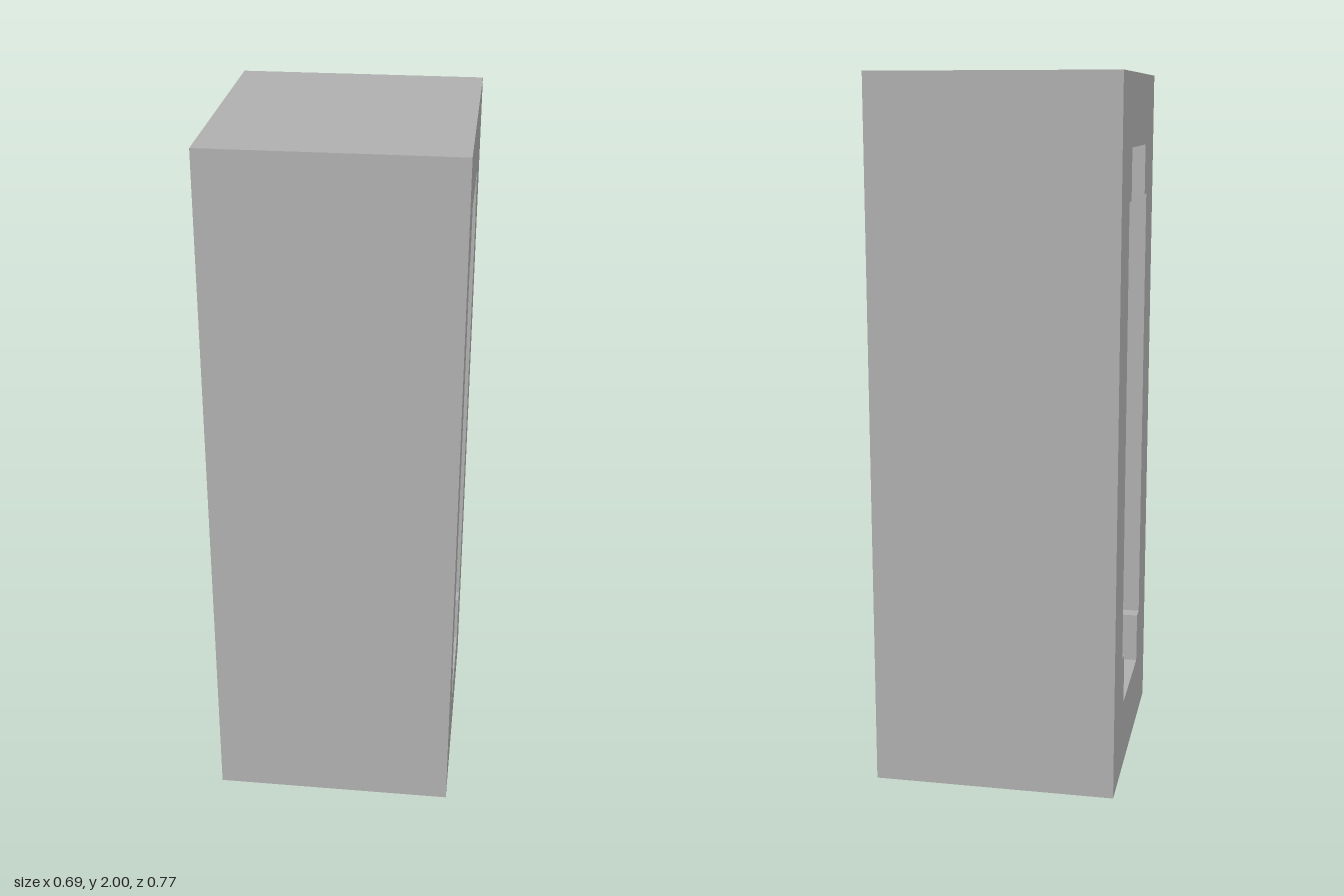
import * as THREE from 'three';

const WIDTH = 0.69, HEIGHT = 2, DEPTH = 0.768;  // outer block
const SLOT_Z = 0.167, SLOT_LOW = 0.2, SLOT_HIGH = 1.8;  // opening through x
const NOTCH_Z = 0.213, NOTCH_LOW = 0.348, NOTCH_HIGH = 1.656;  // widened middle of the opening
const NOTCH_DEPTH = 0.084;  // recess depth from each side face

const polygon = (Type, points) => new Type(points.map(([z, y]) => new THREE.Vector2(z, y)));

export function createModel() {
  const model = new THREE.Group();
  model.name = 'slottedBlock';

  const grey = new THREE.MeshStandardMaterial({ color: 0xb2b2b2 });
  grey.name = 'plain grey';

  // Block with a cross-shaped opening running side to side
  const d = DEPTH / 2;
  const outline = polygon(THREE.Shape, [[-d, 0], [d, 0], [d, HEIGHT], [-d, HEIGHT]]);
  const halfEdge = [
    [SLOT_Z, SLOT_LOW], [SLOT_Z, NOTCH_LOW], [NOTCH_Z, NOTCH_LOW],
    [NOTCH_Z, NOTCH_HIGH], [SLOT_Z, NOTCH_HIGH], [SLOT_Z, SLOT_HIGH],
  ];
  const mirrored = halfEdge.map(([z, y]) => [-z, y]).reverse();
  outline.holes.push(polygon(THREE.Path, [...halfEdge, ...mirrored]));

  const blockGeometry = new THREE.ExtrudeGeometry(outline, { depth: WIDTH, bevelEnabled: false });
  blockGeometry.translate(0, 0, -WIDTH / 2);
  blockGeometry.rotateY(Math.PI / 2);
  const block = new THREE.Mesh(blockGeometry, grey);
  block.name = 'block';
  model.add(block);

  // Inner walls fill the notches, leaving a shallow recess at each side face
  for (const side of [1, -1]) {
    const wall = new THREE.Mesh(
      new THREE.BoxGeometry(WIDTH - 2 * NOTCH_DEPTH, NOTCH_HIGH - NOTCH_LOW, NOTCH_Z - SLOT_Z),
      grey,
    );
    wall.name = side > 0 ? 'frontInnerWall' : 'backInnerWall';
    wall.position.set(0, (NOTCH_LOW + NOTCH_HIGH) / 2, side * (NOTCH_Z + SLOT_Z) / 2);
    model.add(wall);
  }

  return model;
}
